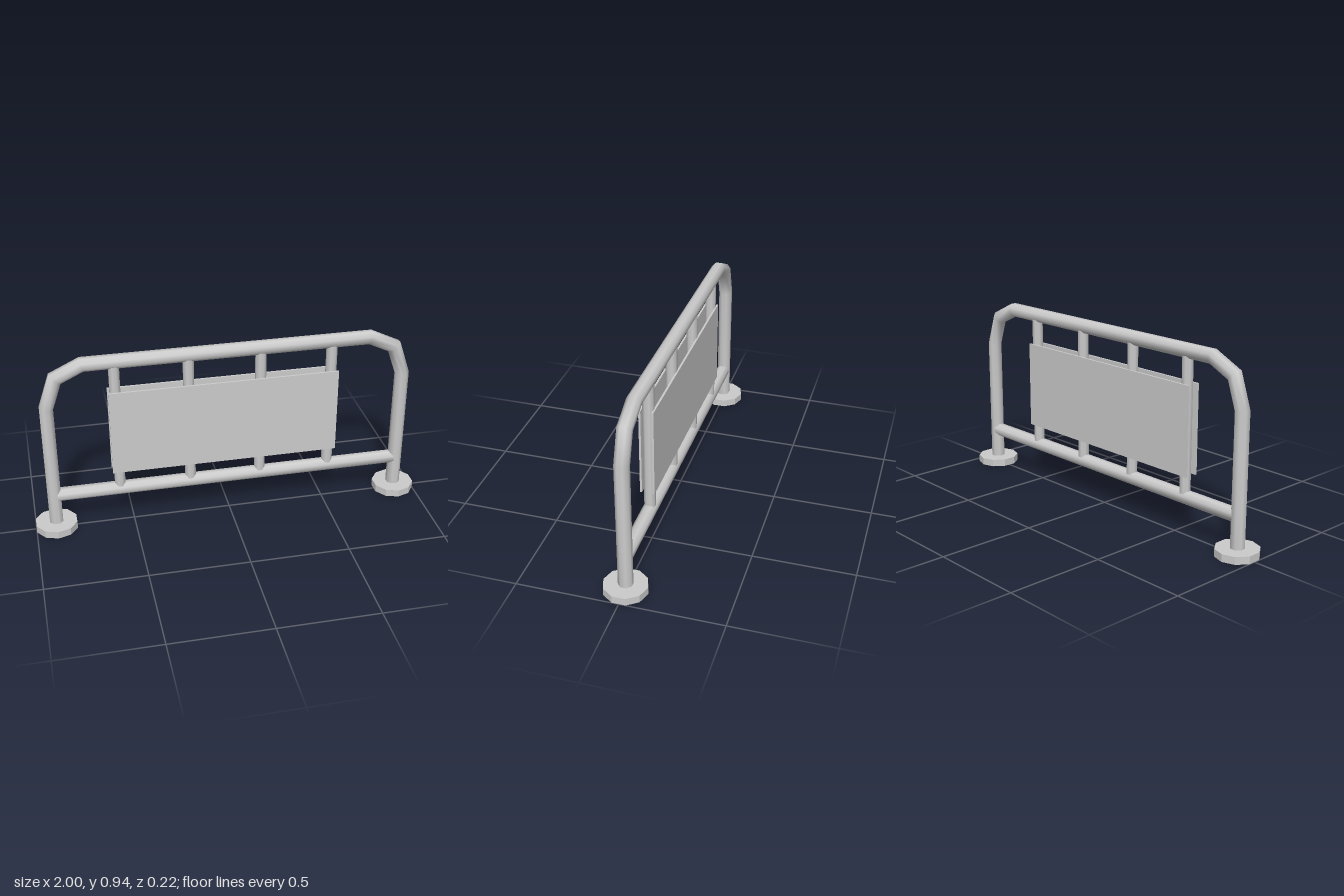
import * as THREE from 'three';

const grey = new THREE.MeshStandardMaterial({ color: 0xcccccc, side: THREE.DoubleSide });
const flatGrey = new THREE.MeshStandardMaterial({ color: 0xcccccc, side: THREE.DoubleSide, flatShading: true });

function add(group, name, geometry, material, x = 0, y = 0, z = 0) {
  const mesh = new THREE.Mesh(geometry, material);
  mesh.name = name;
  mesh.position.set(x, y, z);
  group.add(mesh);
  return mesh;
}

// Mitred round tube along a path of straight pieces in the xy plane
function mitredTube(path, radius, sides) {
  const points = path.map(([x, y]) => new THREE.Vector2(x, y));
  const positions = [], index = [];
  points.forEach((p, i) => {
    const before = p.clone().sub(points[i - 1] ?? p).normalize();
    const after = (points[i + 1] ?? p).clone().sub(p).normalize();
    const along = before.clone().add(after).normalize();
    const cos = along.dot(i ? before : after);
    for (let s = 0; s < sides; s++) {
      const a = (s + 0.5) / sides * Math.PI * 2;
      const out = Math.cos(a) * radius / cos;
      positions.push(p.x - along.y * out, p.y + along.x * out, Math.sin(a) * radius);
      if (i) {
        const n = (s + 1) % sides, r = i * sides, q = r - sides;
        index.push(q + s, r + s, q + n, q + n, r + s, r + n);
      }
    }
  });
  const geometry = new THREE.BufferGeometry();
  geometry.setAttribute('position', new THREE.Float32BufferAttribute(positions, 3));
  geometry.setIndex(index);
  geometry.computeVertexNormals();
  return geometry;
}

export function createModel() {
  const model = new THREE.Group();
  model.name = 'barrier';
  const postX = 0.897;

  // Bent outer frame: two posts joined by the top rail
  const half = [[postX, 0.033], [postX, 0.69], [0.845, 0.842], [0.715, 0.904]];
  const path = [...half.map(([x, y]) => [-x, y]), ...half.reverse()];
  add(model, 'frame', mitredTube(path, 0.036, 8), grey);

  // Lower rail between the posts
  add(model, 'lowerRail', mitredTube([[-0.885, 0.193], [0.885, 0.193]], 0.035, 8), grey);

  // Vertical bars
  for (let i = 0; i < 4; i++) {
    const bar = new THREE.CylinderGeometry(0.028, 0.028, 0.68, 8, 1, true);
    bar.rotateY(Math.PI / 8);
    add(model, 'verticalBar', bar, grey, -0.563 + i * 0.361, 0.55, 0);
  }

  // Sign panels on both faces
  for (const [name, z] of [['frontPanel', 0.034], ['backPanel', -0.028]]) {
    add(model, name, new THREE.BoxGeometry(1.15, 0.446, 0.01), flatGrey, -0.024, 0.527, z);
  }

  // Foot flanges, hollow underneath
  for (const x of [-postX, postX]) {
    const foot = new THREE.Group();
    foot.name = 'footFlange';
    foot.position.x = x;
    add(foot, 'flangeRim', new THREE.CylinderGeometry(0.108, 0.108, 0.038, 10, 1, true), flatGrey, 0, 0.019);
    const cap = new THREE.CircleGeometry(0.108, 10, Math.PI / 2).rotateX(-Math.PI / 2);
    add(foot, 'flangeTop', cap, flatGrey, 0, 0.038);
    model.add(foot);
  }
  return model;
}
